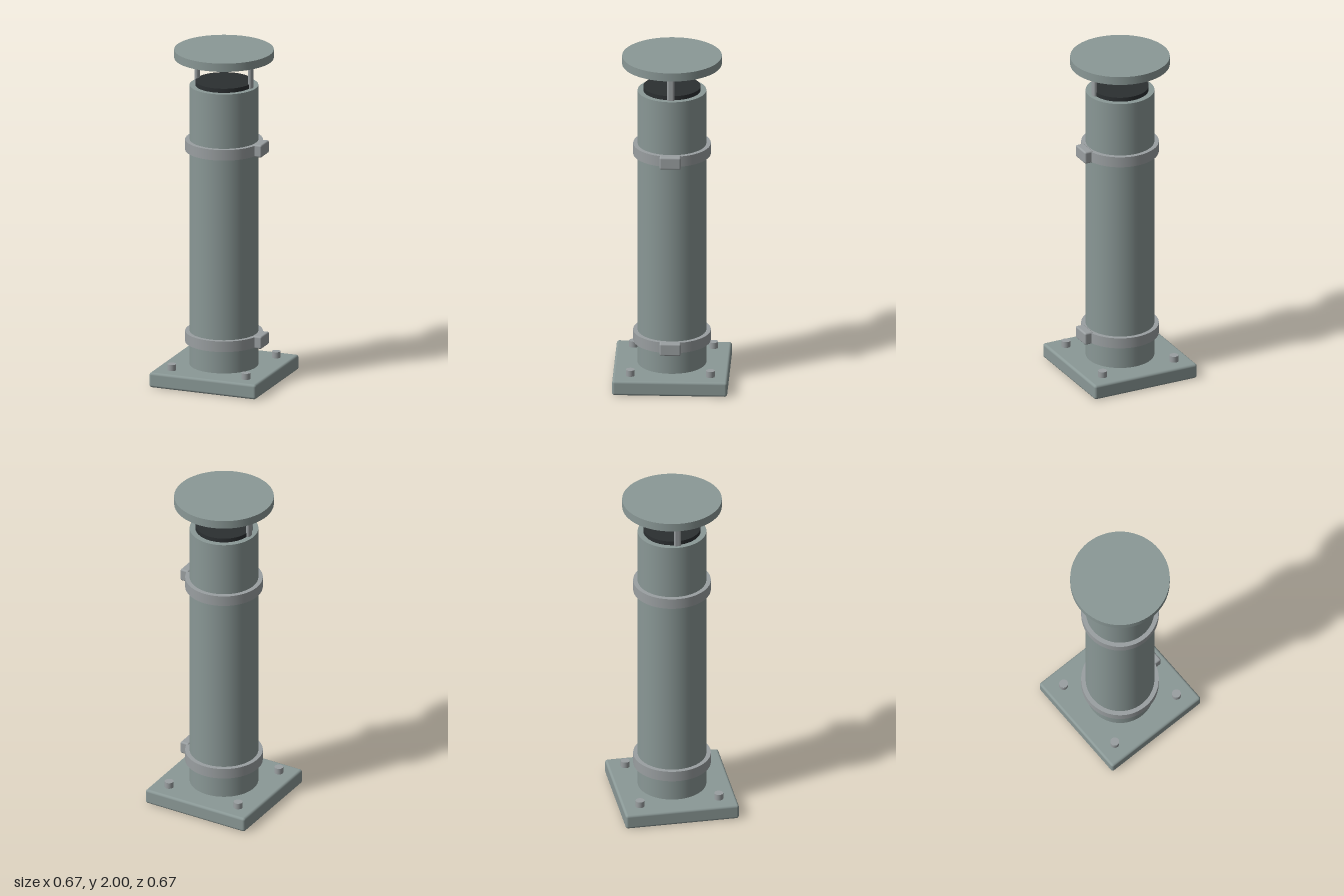
import * as THREE from 'three';
import { RoundedBoxGeometry } from 'three/addons/geometries/RoundedBoxGeometry.js';

const paint = new THREE.MeshStandardMaterial({ color: 0x8a9896 });
const steel = new THREE.MeshStandardMaterial({ color: 0x9a9fa1 });
const soot = new THREE.MeshStandardMaterial({ color: 0x2b2f31 });

export function createModel() {
  const model = new THREE.Group();
  model.name = 'chimneyPipe';

  const add = (name, geometry, material, x, y, z) => {
    const mesh = new THREE.Mesh(geometry, material);
    mesh.name = name;
    mesh.position.set(x, y, z);
    model.add(mesh);
    return mesh;
  };
  // Upright cylinder given by its bottom and top heights
  const cylinder = (name, radius, y0, y1, material, x = 0, z = 0, sides = 64) =>
    add(name, new THREE.CylinderGeometry(radius, radius, y1 - y0, sides), material, x, (y0 + y1) / 2, z);
  const box = (name, w, h, d, r, material, x, y, z) =>
    add(name, new RoundedBoxGeometry(w, h, d, 4, r), material, x, y, z);

  // Base plate with four bolts
  box('basePlate', 0.67, 0.09, 0.67, 0.015, paint, 0, 0.045, 0);
  for (const x of [-0.233, 0.233]) {
    for (const z of [-0.233, 0.233]) cylinder('baseBolt', 0.026, 0.08, 0.127, steel, x, z, 32);
  }

  // Main pipe and the dark inner flue
  cylinder('pipe', 0.2, 0.08, 1.785, paint);
  cylinder('innerFlue', 0.167, 1.7, 1.81, soot);

  // Clamp bands, each with a latch on the left side
  const bandProfile = [[0.195, -0.032], [0.226, -0.032], [0.226, 0.032], [0.195, 0.032]];
  for (const y of [0.26, 1.423]) {
    // Each profile edge is its own lathe so the rims stay sharp
    const band = new THREE.Group();
    band.name = 'clampBand';
    band.position.y = y;
    for (let i = 0; i < 3; i++) {
      const edge = [bandProfile[i], bandProfile[i + 1]].map(p => new THREE.Vector2(...p));
      const mesh = new THREE.Mesh(new THREE.LatheGeometry(edge, 64), steel);
      mesh.name = 'clampBandFace';
      band.add(mesh);
    }
    model.add(band);
    box('clampLatch', 0.055, 0.075, 0.124, 0.01, steel, 0.2325, y, 0);
  }

  // Rain cap carried on two flat struts
  for (const x of [-0.168, 0.168]) box('capStrut', 0.025, 0.215, 0.042, 0.012, steel, x, 1.8475, 0);
  cylinder('rainCap', 0.29, 1.95, 2, paint);

  return model;
}
